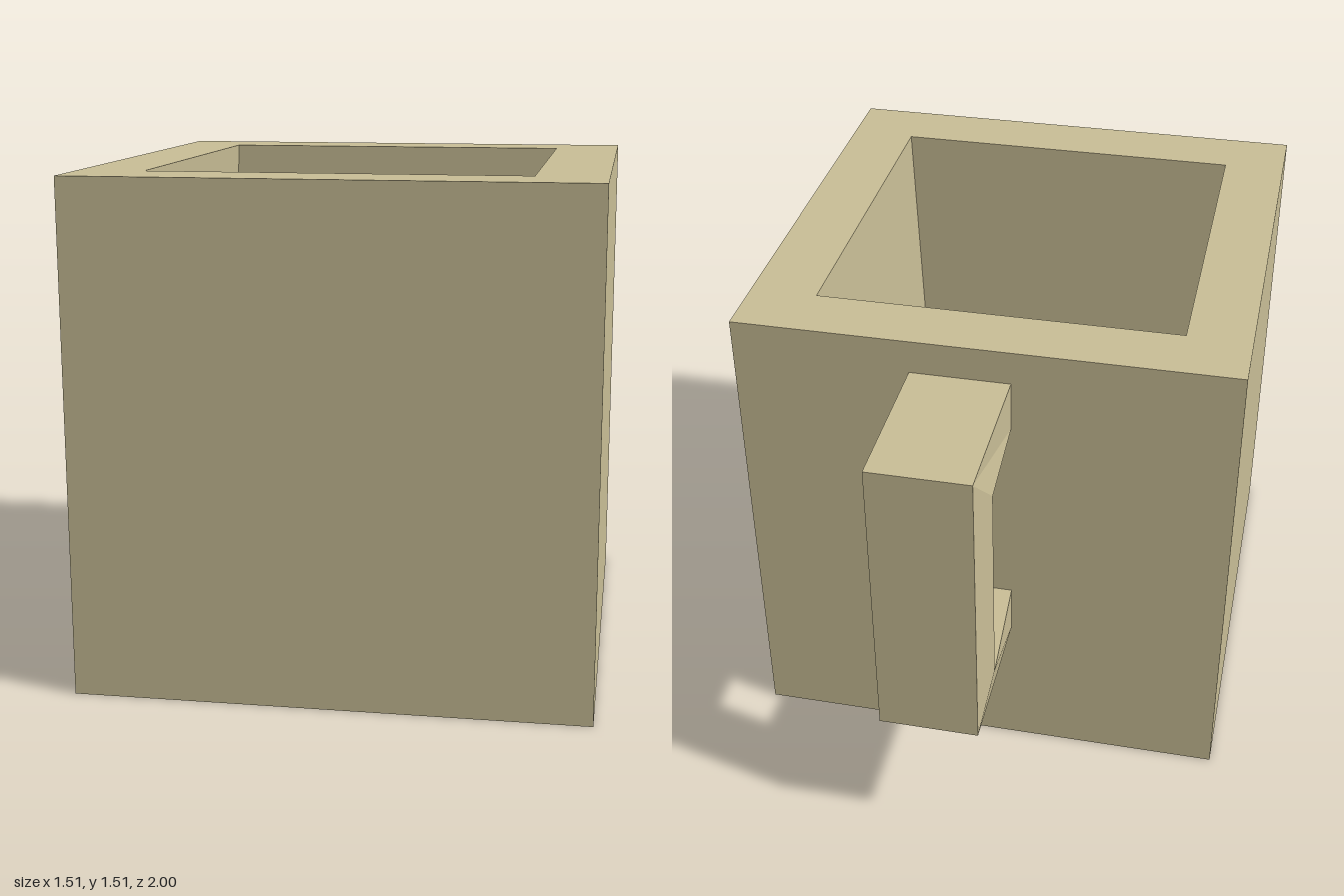
import * as THREE from 'three';

// Skin a list of four-cornered rings with flat quads, optionally closing both ends.
function loft(rings, capped) {
  const pos = [];
  const quad = (a, b, c, d) => pos.push(...a, ...b, ...c, ...a, ...c, ...d);
  for (let r = 0; r < rings.length - 1; r++) {
    const a = rings[r], b = rings[r + 1];
    for (let i = 0; i < 4; i++) {
      const j = (i + 1) % 4;
      quad(a[i], a[j], b[j], b[i]);
    }
  }
  if (capped) {
    quad(...[...rings[0]].reverse());
    quad(...rings[rings.length - 1]);
  }
  const geometry = new THREE.BufferGeometry();
  geometry.setAttribute('position', new THREE.Float32BufferAttribute(pos, 3));
  geometry.computeVertexNormals();
  return geometry;
}

// Horizontal rectangle at height y.
const rect = (y, x0, x1, z0, z1) => [[x0, y, z1], [x1, y, z1], [x1, y, z0], [x0, y, z0]];

export function createModel() {
  const group = new THREE.Group();
  const clay = new THREE.MeshStandardMaterial({ color: 0xcabf97 });
  clay.name = 'sand clay';

  const add = (name, geometry) => {
    const mesh = new THREE.Mesh(geometry, clay);
    mesh.name = name;
    group.add(mesh);
  };

  // Square cup: outer walls, rim, slightly slanted cavity and its floor
  add('cupBody', loft([
    rect(0, -0.755, 0.755, -0.51, 1),
    rect(1.515, -0.755, 0.755, -0.51, 1),
    rect(1.515, -0.56, 0.55, -0.315, 0.8),
    rect(0.2, -0.61, 0.5, -0.315, 0.8),
  ], true));

  // Handle cross-sections from upper to lower root; the inner corners flare wider
  const section = (zOut, yOut, zIn, yIn, flare) => [
    [-0.085, yOut, zOut], [0.218, yOut, zOut],
    [0.218 + flare, yIn, zIn], [-0.085 - flare, yIn, zIn],
  ];
  add('handle', loft([
    section(-0.51, 1.41, -0.51, 1.253, 0),
    section(-1, 1.41, -0.857, 1.27, 0.021),
    section(-1, 0.473, -0.857, 0.61, 0.021),
    section(-0.51, 0.473, -0.51, 0.627, 0),
  ], false));

  return group;
}
